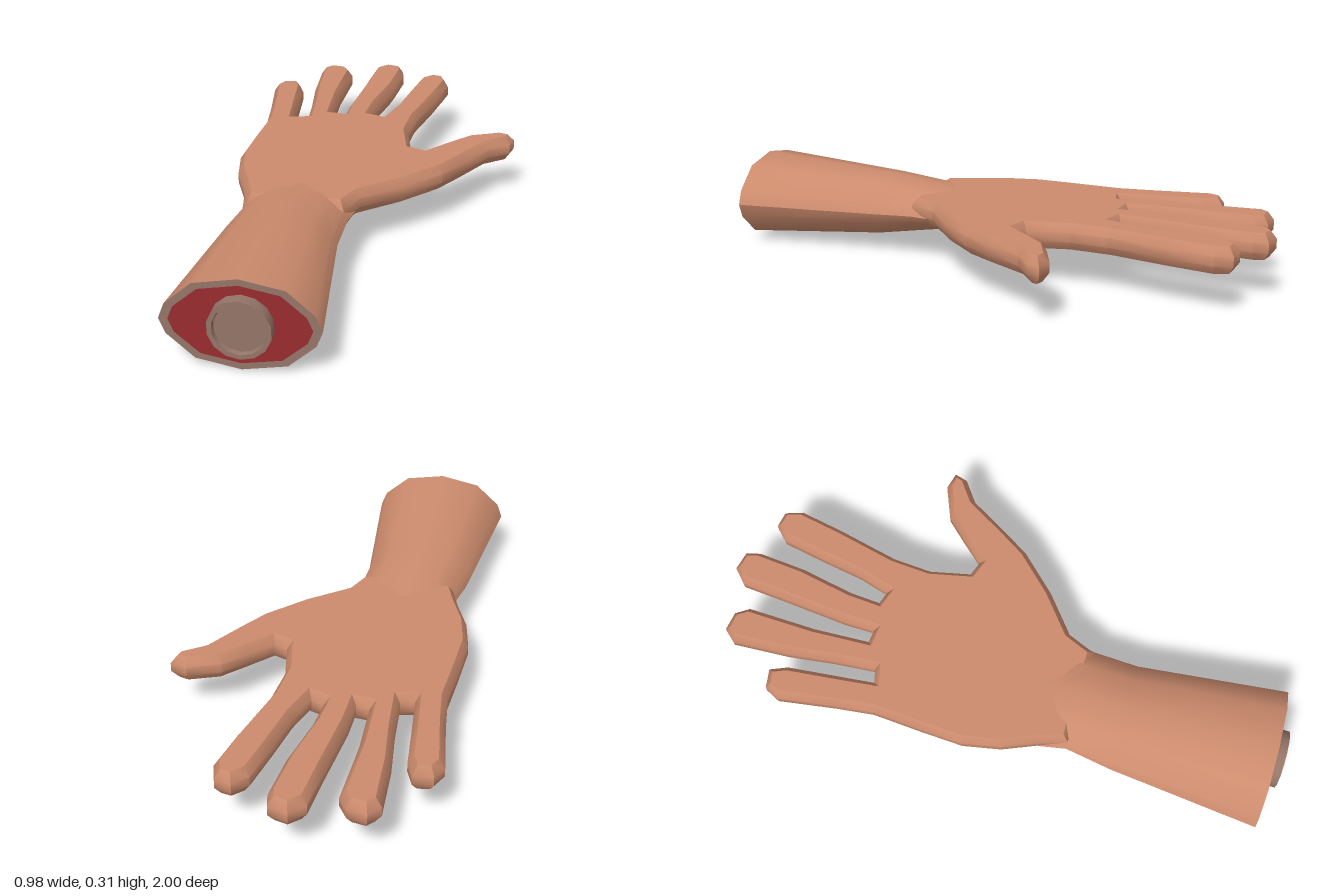
import * as THREE from 'three';
import { toCreasedNormals } from 'three/addons/utils/BufferGeometryUtils.js';

const skin = new THREE.MeshStandardMaterial({ name: 'skin', color: 0xcc8b6d });
const cutRim = new THREE.MeshStandardMaterial({ name: 'cut rim and bone', color: 0x957568 });
const flesh = new THREE.MeshStandardMaterial({ name: 'flesh', color: 0x982c30 });

// Outline of the hand seen from above, as [x, z] pairs
const outline = {
  littleFinger: [[-0.36, 0.29], [-0.39, 0.2], [-0.44, 0.08], [-0.465, -0.05], [-0.457, -0.2], [-0.445, -0.37], [-0.46, -0.5],
    [-0.49, -0.7], [-0.465, -0.75], [-0.4, -0.76], [-0.375, -0.7], [-0.36, -0.55], [-0.345, -0.4], [-0.298, -0.412]],
  ringFinger: [[-0.31, -0.56], [-0.33, -0.72], [-0.34, -0.915], [-0.305, -0.955], [-0.24, -0.945], [-0.21, -0.9],
    [-0.218, -0.66], [-0.21, -0.465], [-0.165, -0.46]],
  middleFinger: [[-0.163, -0.57], [-0.14, -0.8], [-0.127, -0.955], [-0.08, -1], [-0.015, -0.985], [-0.003, -0.935],
    [-0.018, -0.77], [-0.055, -0.58], [-0.063, -0.475], [-0.018, -0.46]],
  indexFinger: [[0.015, -0.57], [0.04, -0.715], [0.07, -0.87], [0.115, -0.915], [0.17, -0.905], [0.19, -0.845],
    [0.16, -0.69], [0.11, -0.475], [0.1, -0.34], [0.13, -0.2], [0.18, -0.182]],
  thumb: [[0.245, -0.255], [0.32, -0.335], [0.43, -0.38], [0.488, -0.365], [0.475, -0.32], [0.4, -0.265], [0.32, -0.13],
    [0.26, -0.035], [0.14, 0.09], [0.01, 0.195], [-0.03, 0.29]],
};

// Half of the twelve-sided arm section, mirrored to make the whole
const half = [[0, 1], [0.57, 0.83], [0.92, 0.33], [1, 0], [0.92, -0.33], [0.57, -0.83], [0, -1]];
const section = [...half, ...half.slice(1, -1).reverse().map(([x, y]) => [-x, y])];

// Arm cross-sections from cut to palm: z, centre x, half width, bottom y, top y
const rings = [
  [0.965, -0.21, 0.245, 0, 0.305],
  [0.45, -0.21, 0.19, 0.042, 0.265],
  [0.29, -0.195, 0.18, 0.075, 0.248],
  [0.2, -0.195, 0.197, 0.095, 0.231],
  [0.1, -0.18, 0.22, 0.142, 0.222],
];

function ringPoints([z, cx, hw, bottom, top], scaleX = 1, scaleY = scaleX) {
  return section.map(([x, y]) => new THREE.Vector3(
    cx + x * hw * scaleX, (top + bottom) / 2 + y * scaleY * (top - bottom) / 2, z));
}

function loft(list) {
  const n = section.length;
  const points = list.flatMap((r) => ringPoints(r));
  const index = [];
  for (let i = 0; i < list.length - 1; i++) {
    for (let j = 0; j < n; j++) {
      const a = i * n + j, b = i * n + (j + 1) % n;
      index.push(a, b, a + n, b, b + n, a + n);
    }
  }
  const g = new THREE.BufferGeometry().setFromPoints(points);
  g.setIndex(index);
  return toCreasedNormals(g, 0.6);
}

export function createModel() {
  const group = new THREE.Group();
  group.name = 'hand';
  const add = (name, geometry, material, x = 0, y = 0, z = 0) => {
    const mesh = new THREE.Mesh(geometry, material);
    mesh.name = name;
    mesh.position.set(x, y, z);
    group.add(mesh);
    return mesh;
  };

  // Palm and fingers: one slab with chamfered edges
  const handShape = new THREE.Shape(Object.values(outline).flat().map(([x, z]) => new THREE.Vector2(x, -z)));
  const hand = new THREE.ExtrudeGeometry(handShape, {
    depth: 0.033, bevelThickness: 0.03, bevelSize: 0.02, bevelOffset: -0.02, bevelSegments: 1,
  });
  hand.rotateX(-Math.PI / 2);
  add('palmAndFingers', toCreasedNormals(hand, 0.6), skin, 0, 0.165, 0);

  // Forearm narrowing into the wrist
  add('forearm', loft(rings), skin);

  // Cut end: rim with the flesh just behind it
  const flat = (sx, sy) => ringPoints(rings[0], sx, sy).map((p) => new THREE.Vector2(p.x, p.y));
  const rim = new THREE.Shape(flat(1, 1));
  rim.holes.push(new THREE.Path(flat(0.885, 0.86)));
  add('cutRim', new THREE.ShapeGeometry(rim), cutRim, 0, 0, 0.965);
  add('cutFlesh', new THREE.ShapeGeometry(new THREE.Shape(flat(0.95, 0.95))), flesh, 0, 0, 0.961);

  // Bone stub: a short tube with a slightly sunken core
  const r = 0.098;
  const bone = new THREE.LatheGeometry([[r, 0], [r, 0.05], [0.083, 0.05], [0.08, 0.035], [0, 0.035]]
    .map(([x, y]) => new THREE.Vector2(x, y)), 14);
  bone.rotateX(Math.PI / 2);
  add('bone', toCreasedNormals(bone, 0.6), cutRim, -0.204, 0.155, 0.95);

  return group;
}
